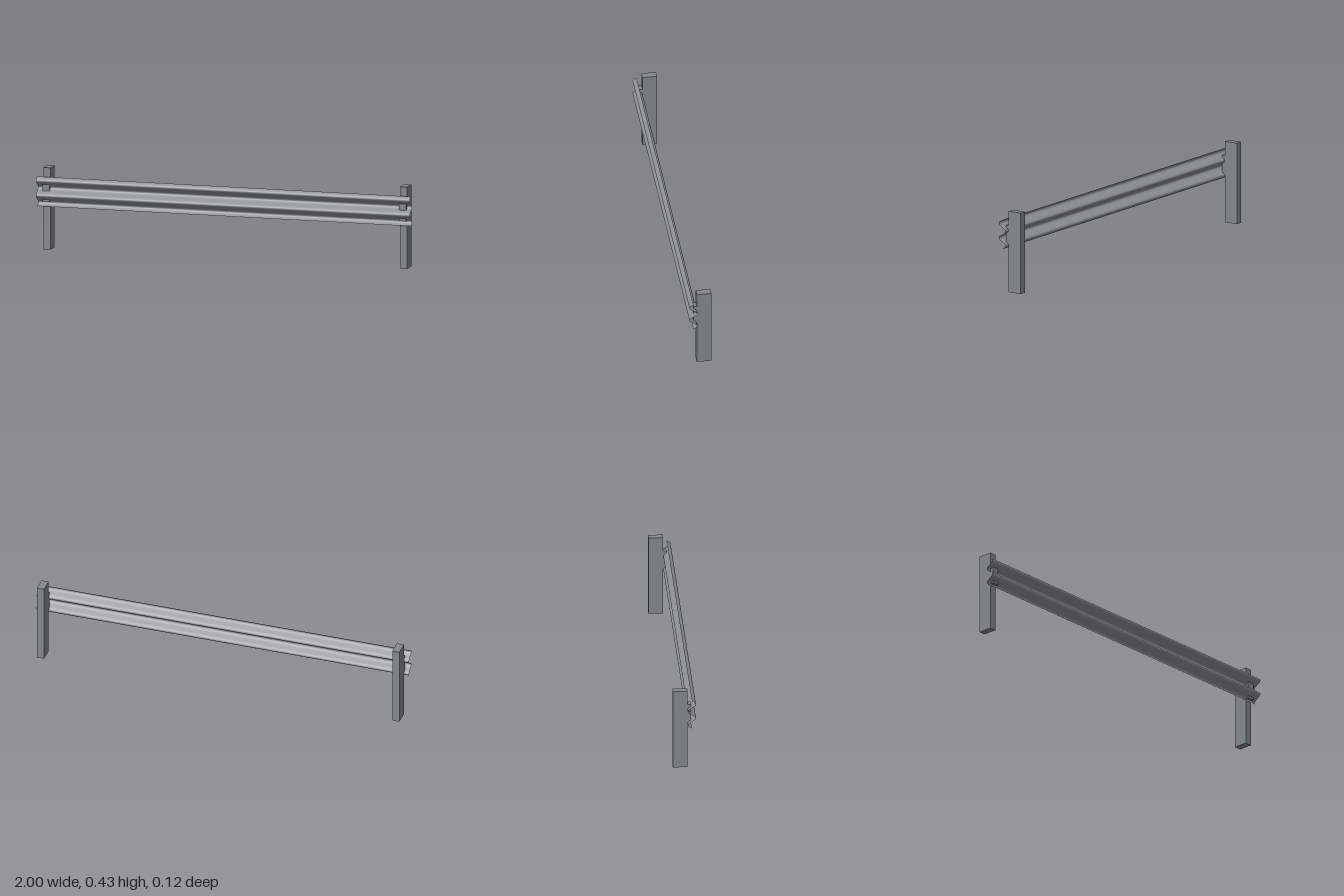
import * as THREE from 'three';

export function createModel() {
  const group = new THREE.Group();
  const railSteel = new THREE.MeshStandardMaterial({ color: 0x8c9197, side: THREE.DoubleSide });
  railSteel.name = 'rail steel';
  const postSteel = new THREE.MeshStandardMaterial({ color: 0x82888c });
  postSteel.name = 'post steel';

  const box = (name, w, y0, y1, z0, z1, x) => {
    const mesh = new THREE.Mesh(new THREE.BoxGeometry(w, y1 - y0, z1 - z0), postSteel);
    mesh.position.set(x, (y0 + y1) / 2, (z0 + z1) / 2);
    mesh.name = name;
    group.add(mesh);
  };

  // Corrugated rail: a thin sheet bent into two full waves
  const height = 0.154;
  const sheet = new THREE.PlaneGeometry(2, height, 1, 48);
  const p = sheet.attributes.position;
  for (let i = 0; i < p.count; i++) {
    const t = (height / 2 - p.getY(i)) / height;
    p.setZ(i, 0.038 + 0.0205 * Math.sin(t * Math.PI * 4));
  }
  sheet.computeVertexNormals();
  const rail = new THREE.Mesh(sheet, railSteel);
  rail.position.y = 0.304;
  rail.name = 'corrugatedRail';
  group.add(rail);

  // Post and spacer block near each end
  for (const [side, s] of [['left', 1], ['right', -1]]) {
    box(side + 'Post', 0.038, 0, 0.425, -0.0585, 0.017, s * 0.954);
    box(side + 'Spacer', 0.038, 0.25, 0.35, 0.017, 0.034, s * 0.954);
  }
  return group;
}
